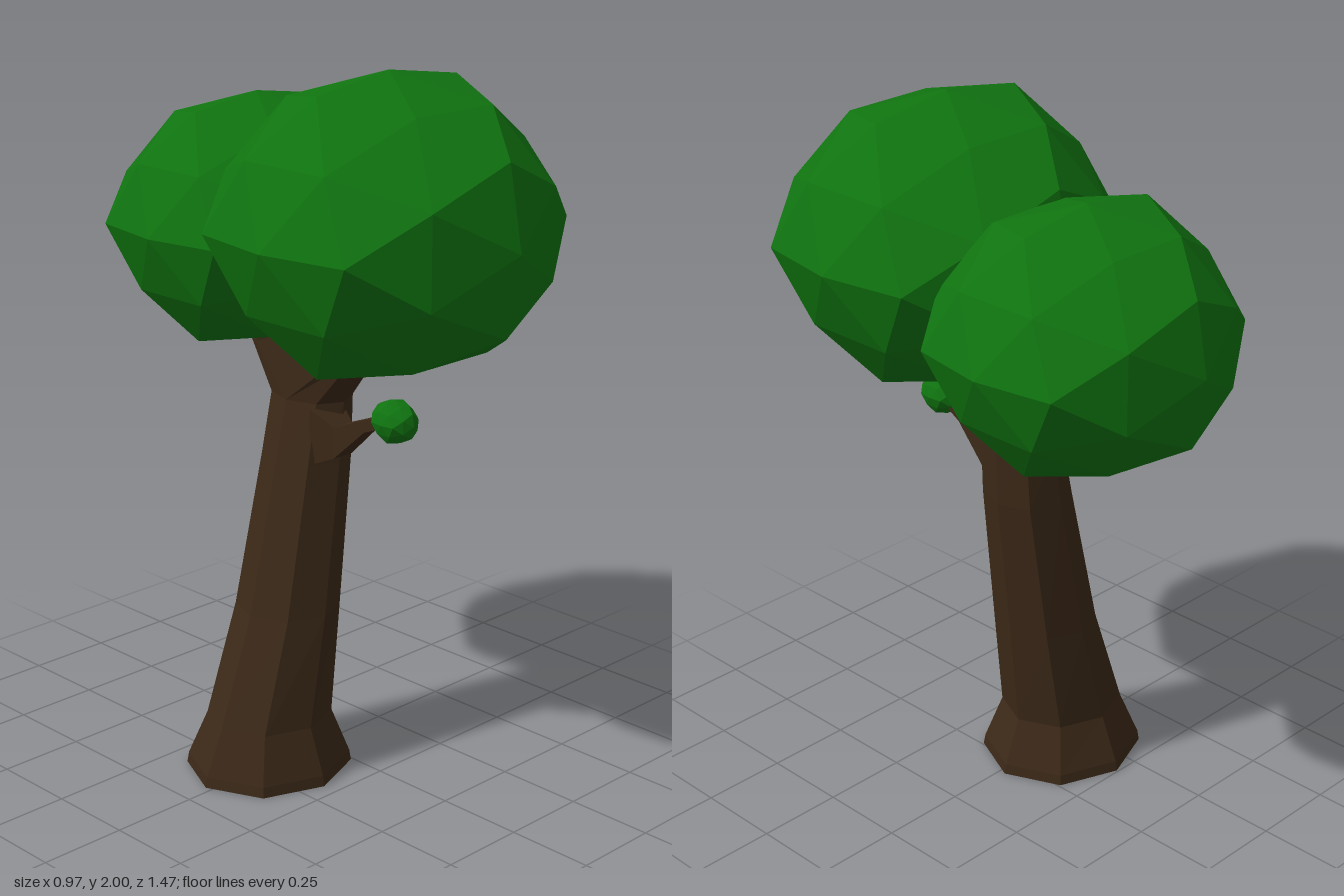
import * as THREE from 'three';

const bark = new THREE.MeshStandardMaterial({ color: 0x3c2918, flatShading: true });
const leaf = new THREE.MeshStandardMaterial({ color: 0x107410, flatShading: true });

// Skins a list of equal-sized rings of [x, y, z] points and caps both ends.
function loft(name, rings) {
  const n = rings[0].length, pos = [];
  const tri = (a, b, c) => pos.push(...a, ...b, ...c);
  for (let r = 0; r < rings.length - 1; r++) {
    const a = rings[r], b = rings[r + 1];
    for (let i = 0; i < n; i++) {
      const j = (i + 1) % n;
      tri(a[i], b[i], a[j]);
      tri(a[j], b[i], b[j]);
    }
  }
  const first = rings[0], last = rings[rings.length - 1];
  for (let i = 1; i < n - 1; i++) {
    tri(first[0], first[i], first[i + 1]);
    tri(last[0], last[i + 1], last[i]);
  }
  const geo = new THREE.BufferGeometry();
  geo.setAttribute('position', new THREE.Float32BufferAttribute(pos, 3));
  geo.computeVertexNormals();
  const mesh = new THREE.Mesh(geo, bark);
  mesh.name = name;
  return mesh;
}

// Horizontal octagon arc: eighths from start, count corners.
function arc(cx, y, cz, rx, rz, start = 0, count = 8) {
  return Array.from({ length: count }, (_, i) => {
    const a = (start + i) * Math.PI / 4;
    return [cx + rx * Math.cos(a), y, cz + rz * Math.sin(a)];
  });
}

// Faceted leaf ball; the twelve main corners stand out slightly.
function leafBall(name, [x, y, z], [rx, ry, rz]) {
  const geo = new THREE.IcosahedronGeometry(1, 1);
  const p = geo.attributes.position, v = new THREE.Vector3();
  for (let i = 0; i < p.count; i++) {
    v.fromBufferAttribute(p, i);
    const zeros = v.toArray().filter(c => Math.abs(c) < 1e-4).length;
    if (zeros === 1) v.multiplyScalar(1.065);
    p.setXYZ(i, v.x * rx, v.y * ry, v.z * rz);
  }
  geo.computeVertexNormals();
  const mesh = new THREE.Mesh(geo, leaf);
  mesh.name = name;
  mesh.position.set(x, y, z);
  return mesh;
}

export function createModel() {
  const tree = new THREE.Group();
  tree.name = 'tree';

  // Leaning trunk with a flared foot
  tree.add(loft('trunk', [
    arc(-0.178, 0, -0.02, 0.243, 0.225),
    arc(-0.178, 0.03, -0.02, 0.238, 0.22),
    arc(-0.178, 0.16, -0.017, 0.183, 0.168),
    arc(-0.107, 0.47, -0.015, 0.143, 0.15),
    arc(-0.032, 0.9, -0.015, 0.118, 0.13),
    arc(-0.01, 1.07, -0.015, 0.1, 0.125),
  ]));

  // Fork: each branch grows from one half of the trunk top
  tree.add(loft('frontBranch', [
    arc(-0.01, 1.07, -0.015, 0.1, 0.125, 0, 5),
    arc(-0.005, 1.21, 0.15, 0.075, 0.05, 0, 5),
    arc(-0.01, 1.36, 0.26, 0.05, 0.04, 0, 5),
  ]));
  tree.add(loft('backBranch', [
    arc(-0.01, 1.07, -0.015, 0.1, 0.125, 4, 5),
    arc(0.02, 1.19, -0.19, 0.075, 0.065, 4, 5),
    arc(0.06, 1.33, -0.3, 0.05, 0.05, 4, 5),
  ]));

  // Square twig on the front of the trunk: [z, bottom, top, half width]
  tree.add(loft('twig', [
    [0.07, 0.9, 1.06, 0.06],
    [0.14, 0.93, 1.02, 0.035],
    [0.25, 1.03, 1.065, 0.025],
    [0.34, 1.065, 1.09, 0.015],
  ].map(([z, low, high, w]) => {
    const cx = -0.042 - 0.04 * (z - 0.07);
    return [[cx + w, high, z], [cx + w, low, z], [cx - w, low, z], [cx - w, high, z]];
  })));

  // Foliage
  tree.add(leafBall('frontCanopy', [-0.02, 1.595, 0.277], [0.46, 0.405, 0.46]));
  tree.add(leafBall('backCanopy', [0.08, 1.502, -0.33], [0.405, 0.357, 0.405]));
  tree.add(leafBall('twigLeaves', [-0.055, 1.08, 0.345], [0.055, 0.06, 0.07]));

  return tree;
}
